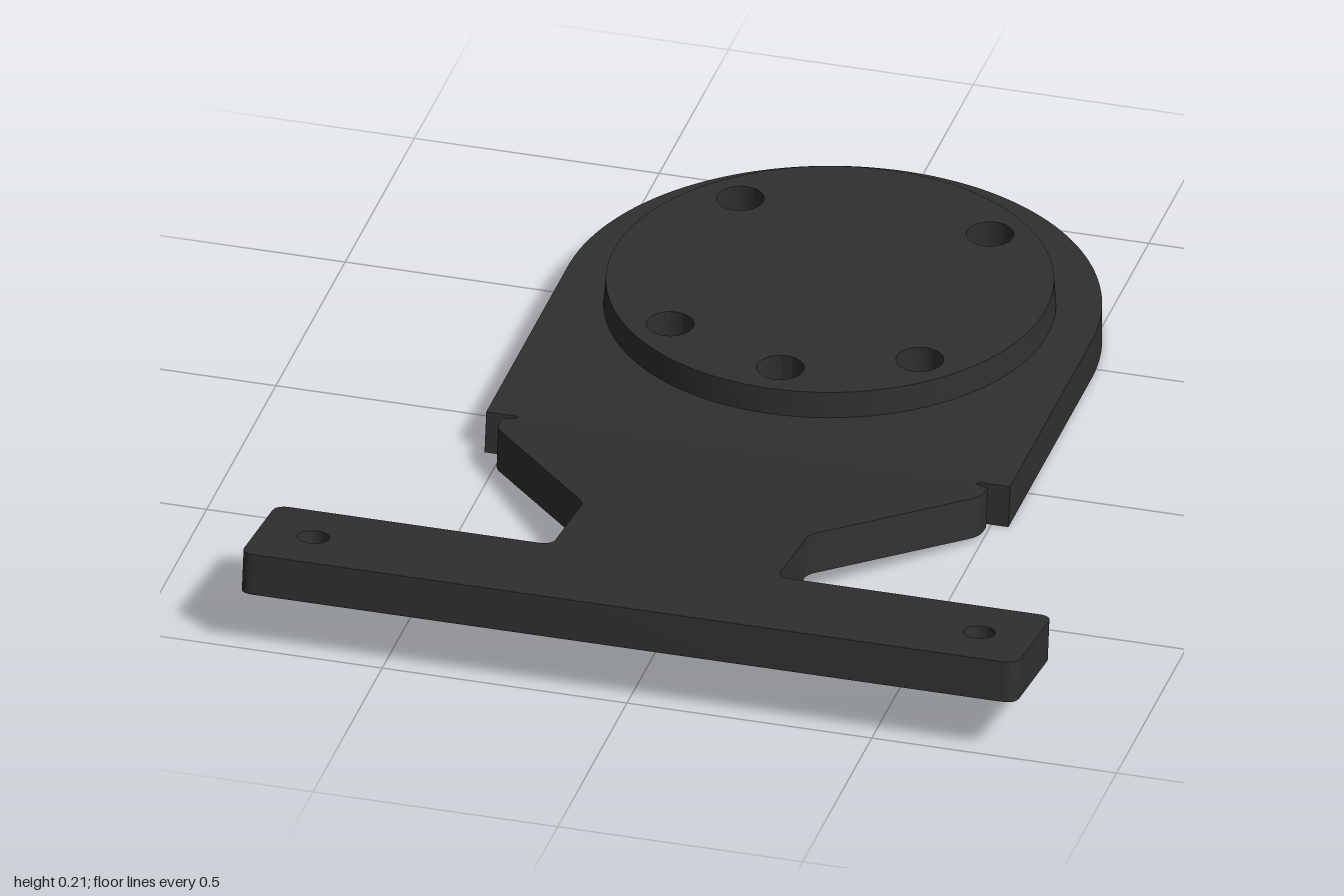
import * as THREE from 'three';
import { toCreasedNormals } from 'three/addons/utils/BufferGeometryUtils.js';

const T = 0.085;              // sheet thickness
const STEP = 0.055;           // height of the pressed disc
const TILT = 0.143;           // bend angle of the arm
const BEND = 0.125;           // z of the bend on the top face
const CZ = -0.465;            // disc centre
const R = 0.445;              // disc radius

const circle = (x, z, r) => new THREE.Path().absarc(x, z, r, 0, Math.PI * 2, true);

// Plate drawn in x/z, with its top face at the given height
function plate(shape, thickness, top, segments = 48) {
  const g = new THREE.ExtrudeGeometry(shape, { depth: thickness, bevelEnabled: false, curveSegments: segments });
  g.rotateX(Math.PI / 2);
  g.translate(0, top, 0);
  return g;
}

// Closed outline from [x, z, cornerRadius] points
function roundedOutline(points) {
  const v = points.map(([x, z]) => new THREE.Vector2(x, z));
  const n = v.length;
  const shape = new THREE.Shape();
  points.forEach(([, , r = 0], i) => {
    const p = v[i];
    const toward = (q) => p.clone().add(q.clone().sub(p).setLength(r));
    const a = r ? toward(v[(i + n - 1) % n]) : p;
    if (i === 0) shape.moveTo(a.x, a.y);
    else shape.lineTo(a.x, a.y);
    if (r) {
      const b = toward(v[(i + 1) % n]);
      shape.quadraticCurveTo(p.x, p.y, b.x, b.y);
    }
  });
  shape.closePath();
  return shape;
}

export function createModel() {
  const group = new THREE.Group();
  const black = new THREE.MeshStandardMaterial({ color: 0x303030 });
  black.name = 'blackMetal';

  const add = (name, geometry) => {
    const mesh = new THREE.Mesh(toCreasedNormals(geometry, 0.5), black);
    mesh.name = name;
    group.add(mesh);
    return mesh;
  };

  const boltHoles = () => [[-0.255, -0.72], [0.255, -0.72], [-0.255, -0.213], [0.255, -0.213], [0, -0.108]]
    .map(([x, z]) => circle(x, z, 0.047));

  const baseOutline = () => {
    const s = new THREE.Shape();
    s.moveTo(0.535, BEND);
    s.lineTo(-0.535, BEND);
    s.lineTo(-0.535, CZ);
    s.absarc(0, CZ, 0.535, Math.PI, Math.PI * 2, false);
    s.closePath();
    return s;
  };

  // Lean the front edge of the base so it meets the tilted arm squarely
  const leanFront = (g) => {
    const p = g.attributes.position;
    for (let i = 0; i < p.count; i++) {
      if (p.getZ(i) > 0.1) p.setZ(i, BEND + (T - p.getY(i)) * Math.tan(TILT));
    }
    return g;
  };

  // Base: lower layer open for the recess, upper layer with bolt holes
  const lower = baseOutline();
  lower.holes.push(circle(0, CZ, R));
  add('baseLower', leanFront(plate(lower, STEP, STEP)));
  const upper = baseOutline();
  upper.holes.push(...boltHoles());
  add('baseUpper', leanFront(plate(upper, T - STEP, T)));

  // Raised disc, very slightly tapered
  const disc = new THREE.Shape().absarc(0, CZ, R, 0, Math.PI * 2, false);
  disc.holes.push(...boltHoles());
  const discGeo = plate(disc, STEP, T + STEP);
  const p = discGeo.attributes.position;
  for (let i = 0; i < p.count; i++) {
    const dz = p.getZ(i) - CZ;
    if (p.getY(i) > T + 0.01 && Math.hypot(p.getX(i), dz) > R - 0.01) {
      p.setX(i, p.getX(i) * 0.99);
      p.setZ(i, CZ + dz * 0.99);
    }
  }
  add('raisedDisc', discGeo);

  // Tilted T-shaped arm, with z measured from the bend
  const half = [
    [0.47, 0], [0.47, 0.012], [0.495, 0.02], [0.495, 0.07, 0.025],
    [0.23, 0.38, 0.02], [0.23, 0.611, 0.03], [0.793, 0.611, 0.03], [0.793, 0.872, 0.03],
  ];
  const mirrored = half.map(([x, z, r]) => [-x, z, r]).reverse();
  const armShape = roundedOutline([...half, ...mirrored]);
  for (const side of [-1, 1]) armShape.holes.push(circle(side * 0.68, 0.742, 0.032));
  const arm = add('tiltedArm', plate(armShape, T, 0, 16));
  arm.rotation.x = -TILT;
  arm.position.set(0, T, BEND);

  return group;
}
